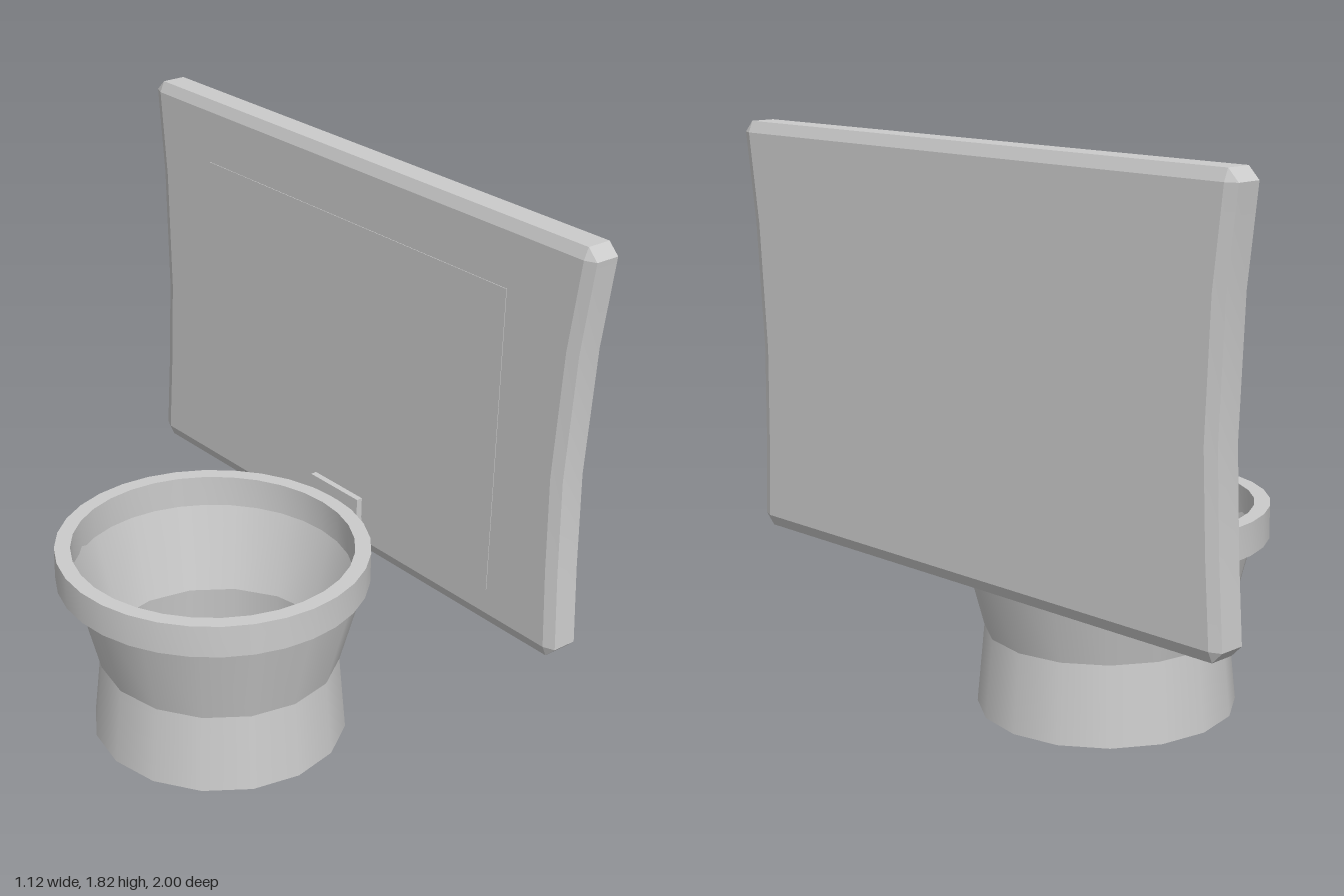
import * as THREE from 'three';
import { toCreasedNormals } from 'three/addons/utils/BufferGeometryUtils.js';

const material = new THREE.MeshStandardMaterial({ color: 0xcccccc });
const thinMaterial = new THREE.MeshStandardMaterial({ color: 0xcccccc, side: THREE.DoubleSide });

function addPart(parent, name, geometry, mat, x = 0, y = 0, z = 0) {
  const mesh = new THREE.Mesh(geometry, mat);
  mesh.name = name;
  mesh.position.set(x, y, z);
  parent.add(mesh);
  return mesh;
}

function lathe(points, segments) {
  return new THREE.LatheGeometry(points.map(([r, y]) => new THREE.Vector2(r, y)), segments);
}

// Chamfered slab with waisted sides, built from four outline loops across x
function slabGeometry() {
  // [half width, height] up one side, for the rim and for the flat faces
  const rim = [[0.935, 0.515], [0.97, 0.55], [0.955, 0.8], [0.945, 1.1], [0.965, 1.5], [1, 1.78], [0.965, 1.815]];
  const face = [[0.935, 0.55], [0.935, 0.55], [0.92, 0.8], [0.91, 1.1], [0.93, 1.5], [0.965, 1.78], [0.965, 1.78]];
  const sections = [[0.45, face], [0.465, rim], [0.545, rim], [0.56, face]];
  const n = rim.length * 2;
  const positions = [];
  const index = [];

  for (const [x, side] of sections) {
    for (const [w, y] of side) positions.push(x, y, -w);
    for (const [w, y] of [...side].reverse()) positions.push(x, y, w);
  }
  const backCentre = positions.length / 3;
  positions.push(0.45, 1.15, 0, 0.56, 1.15, 0);

  for (let i = 0; i < n; i++) {
    const j = (i + 1) % n;
    for (let k = 0; k < 3; k++) {
      const a = k * n + i, b = k * n + j;
      index.push(a, b, b + n, a, b + n, a + n);
    }
    index.push(backCentre, j, i);
    index.push(backCentre + 1, 3 * n + i, 3 * n + j);
  }

  const geometry = new THREE.BufferGeometry();
  geometry.setAttribute('position', new THREE.Float32BufferAttribute(positions, 3));
  geometry.setIndex(index);
  return toCreasedNormals(geometry, 0.3);
}

export function createModel() {
  const model = new THREE.Group();
  model.name = 'bowlWithUprightPanel';

  // Open, thin-walled bowl on a flared foot
  addPart(model, 'foot', lathe([[0.412, 0], [0.387, 0.255]], 16), thinMaterial, -0.04);
  addPart(model, 'bowl', lathe([[0.387, 0.255], [0.47, 0.575]], 16), thinMaterial, -0.04);

  // Flat-sided rim ring around the mouth of the bowl
  const ring = lathe([[0.445, 0.555], [0.495, 0.555], [0.495, 0.66], [0.445, 0.66], [0.445, 0.555]], 32);
  addPart(model, 'rimRing', toCreasedNormals(ring, 0.6), material, -0.065);

  // Upright panel with a nearly flush inlay facing the bowl
  addPart(model, 'panel', slabGeometry(), material);
  addPart(model, 'panelInlay', new THREE.BoxGeometry(0.004, 0.98, 1.38), material, 0.45, 1.12, 0);

  // Block joining the rim to the panel
  addPart(model, 'hingeBlock', new THREE.BoxGeometry(0.085, 0.19, 0.23), material, 0.47, 0.605, 0);

  return model;
}
